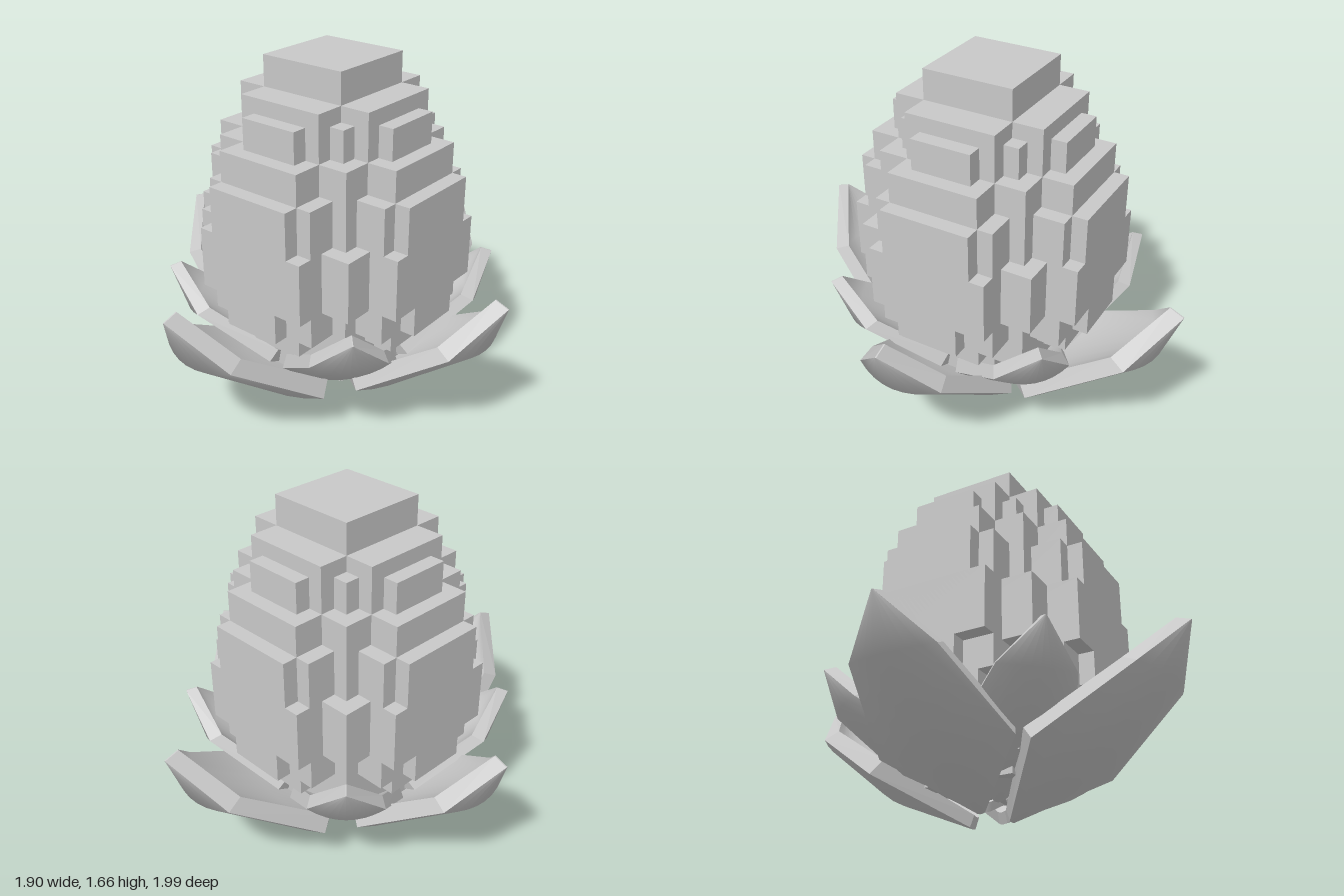
import * as THREE from 'three';
import { mergeGeometries } from 'three/addons/utils/BufferGeometryUtils.js';

const U = 0.072; // egg block size
const TOP = 1.66; // egg top height

// Blocks of the egg: half x, half z, top and bottom counted in units down from the top
const BLOCKS = [
  [3, 3, 0, 21],
  [5, 3, 2, 20],
  [4, 4, 3, 20],
  [6, 2, 3, 18],
  [5, 5, 5, 18],
  [7, 3, 5, 17],
  [8, 3, 7, 14],
  [7, 4, 7, 16],
  [6, 6, 10, 14],
  [8, 4, 10, 14],
  [8, 2, 10, 16],
];

// Petal stations from base to tip: midrib and edge as [radius, height], half width, inner offset
const STATIONS = [
  { mid: [0.10, 0.03], edge: [0.10, 0.035], w: 0.02, off: [-0.02, 0.05] },
  { mid: [0.48, 0.19], edge: [0.40, 0.24], w: 0.33, off: [-0.05, 0.06] },
  { mid: [0.86, 0.48], edge: [0.80, 0.505], w: 0.21, off: [-0.07, 0.035] },
  { mid: [0.95, 0.72], edge: [0.95, 0.72], w: 0.003, off: [-0.065, 0.025] },
];
const COLS = 8;

function petalPoint(station, j, inner) {
  const s = (j / COLS) * 2 - 1;
  const r = THREE.MathUtils.lerp(station.mid[0], station.edge[0], s * s);
  const y = THREE.MathUtils.lerp(station.mid[1], station.edge[1], s * s);
  return inner
    ? [s * station.w * 0.92, y + station.off[1], r + station.off[0]]
    : [s * station.w, y, r];
}

function bufferFrom(points, index) {
  const g = new THREE.BufferGeometry();
  g.setAttribute('position', new THREE.Float32BufferAttribute(points.flat(), 3));
  g.setIndex(index);
  return g;
}

// Smooth curved face of a petal
function petalFace(inner) {
  const points = [], index = [], n = COLS + 1;
  STATIONS.forEach((st, i) => {
    for (let j = 0; j < n; j++) {
      points.push(petalPoint(st, j, inner));
      if (i === STATIONS.length - 1 || j === COLS) continue;
      const a = i * n + j, b = a + n, c = a + 1, d = b + 1;
      if (inner) index.push(a, b, c, b, d, c);
      else index.push(a, c, b, b, c, d);
    }
  });
  const g = bufferFrom(points, index);
  g.computeVertexNormals();
  return g.toNonIndexed();
}

// Flat rim joining the outer and inner faces
function petalRim() {
  const last = STATIONS.length - 1, loop = [];
  for (let i = 0; i < last; i++) loop.push([i, COLS]);
  for (let j = COLS; j > 0; j--) loop.push([last, j]);
  for (let i = last; i > 0; i--) loop.push([i, 0]);
  for (let j = 0; j < COLS; j++) loop.push([0, j]);
  const points = [], index = [];
  loop.forEach(([i, j], k) => {
    points.push(petalPoint(STATIONS[i], j, false), petalPoint(STATIONS[i], j, true));
    const o0 = 2 * k, o1 = 2 * ((k + 1) % loop.length);
    index.push(o0, o0 + 1, o1, o0 + 1, o1 + 1, o1);
  });
  const g = bufferFrom(points, index).toNonIndexed();
  g.computeVertexNormals();
  return g;
}

export function createModel() {
  const model = new THREE.Group();
  const stone = new THREE.MeshStandardMaterial({ color: 0xc8c8c8 });
  stone.name = 'grey stone';

  // Stepped egg, each block also turned a quarter
  const egg = new THREE.Group();
  egg.name = 'egg';
  for (const [hx, hz, top, bottom] of BLOCKS) {
    const sizes = hx === hz ? [[hx, hz]] : [[hx, hz], [hz, hx]];
    for (const [x, z] of sizes) {
      const block = new THREE.Mesh(
        new THREE.BoxGeometry(2 * x * U, (bottom - top) * U, 2 * z * U), stone);
      block.position.y = TOP - ((top + bottom) / 2) * U;
      block.name = 'eggBlock';
      egg.add(block);
    }
  }
  model.add(egg);

  // Ring of petals
  const petalGeometry = mergeGeometries([petalFace(false), petalFace(true), petalRim()]);
  function addPetal(name, angle, scale, y) {
    const petal = new THREE.Mesh(petalGeometry, stone);
    petal.name = name;
    petal.rotation.y = angle;
    petal.scale.setScalar(scale);
    petal.position.y = y;
    model.add(petal);
  }
  for (let k = 0; k < 2; k++) {
    addPetal('sidePetal', Math.PI / 2 + k * Math.PI, 1, 0);
    addPetal('largePetal', k * Math.PI - 0.086, 1.05, -0.0315);
  }
  for (let k = 0; k < 4; k++) {
    addPetal('smallPetal', Math.PI / 4 + k * Math.PI / 2, 0.82, 0.06);
  }
  return model;
}
